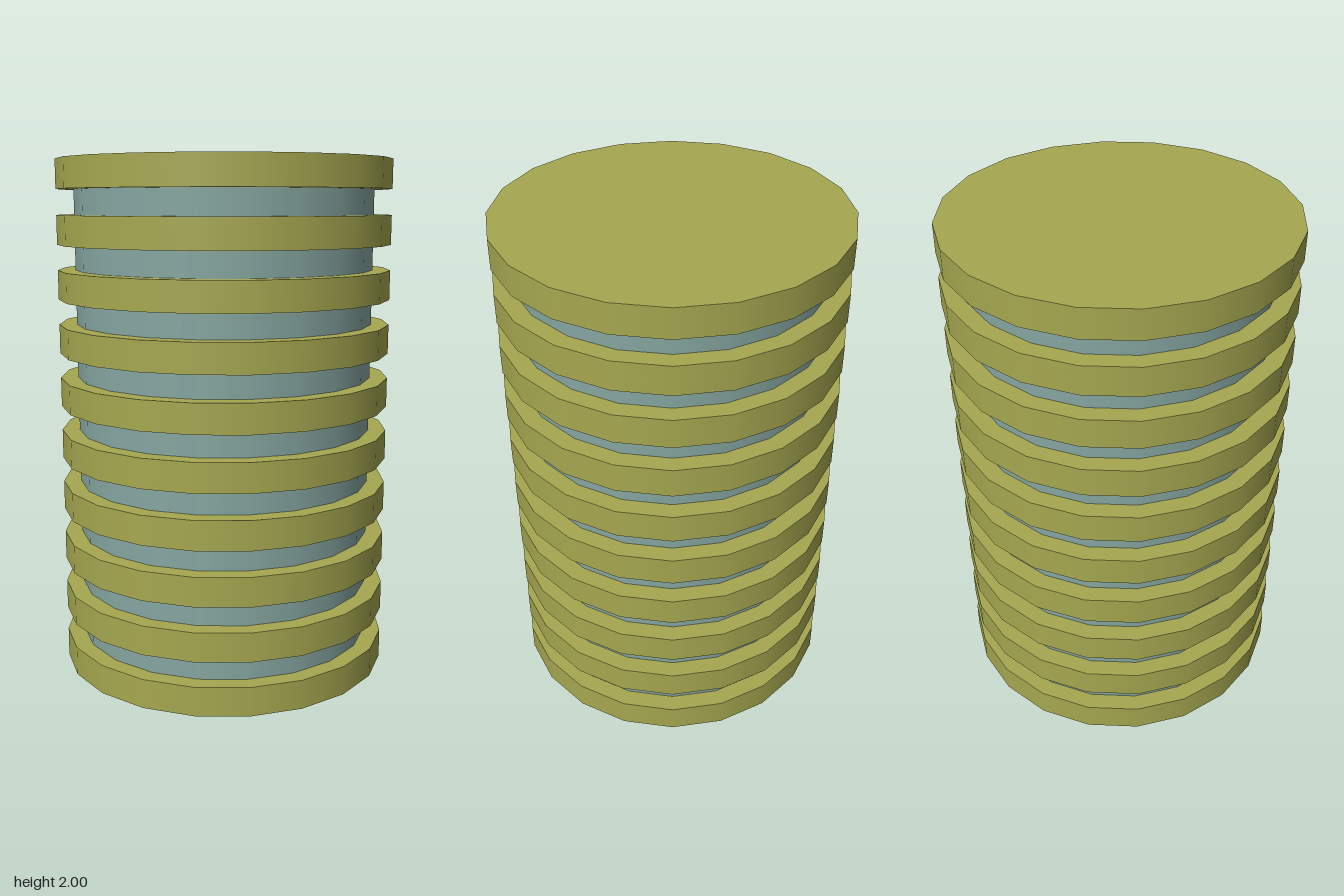
import * as THREE from 'three';

const SIDES = 20;
const HEIGHT = 2;
const DISC_COUNT = 10;
const DISC_RADIUS = 0.648;
const DISC_HEIGHT = 0.113;
const CORE_RADIUS = 0.58;

export function createModel() {
  const model = new THREE.Group();
  model.name = 'ribbedColumn';

  const discMaterial = new THREE.MeshStandardMaterial({ color: 0xa6a850 });
  const coreMaterial = new THREE.MeshStandardMaterial({ color: 0x86a6a1 });

  // Inner core, ending inside the top and bottom discs
  const coreHeight = HEIGHT - DISC_HEIGHT;
  const core = new THREE.Mesh(
    new THREE.CylinderGeometry(CORE_RADIUS, CORE_RADIUS, coreHeight, SIDES),
    coreMaterial
  );
  core.name = 'core';
  core.position.y = HEIGHT / 2;
  model.add(core);

  // Evenly stacked discs
  const discGeometry = new THREE.CylinderGeometry(DISC_RADIUS, DISC_RADIUS, DISC_HEIGHT, SIDES);
  const pitch = (HEIGHT - DISC_HEIGHT) / (DISC_COUNT - 1);
  for (let i = 0; i < DISC_COUNT; i++) {
    const disc = new THREE.Mesh(discGeometry, discMaterial);
    disc.name = `disc${i + 1}`;
    disc.position.y = DISC_HEIGHT / 2 + i * pitch;
    model.add(disc);
  }

  return model;
}
